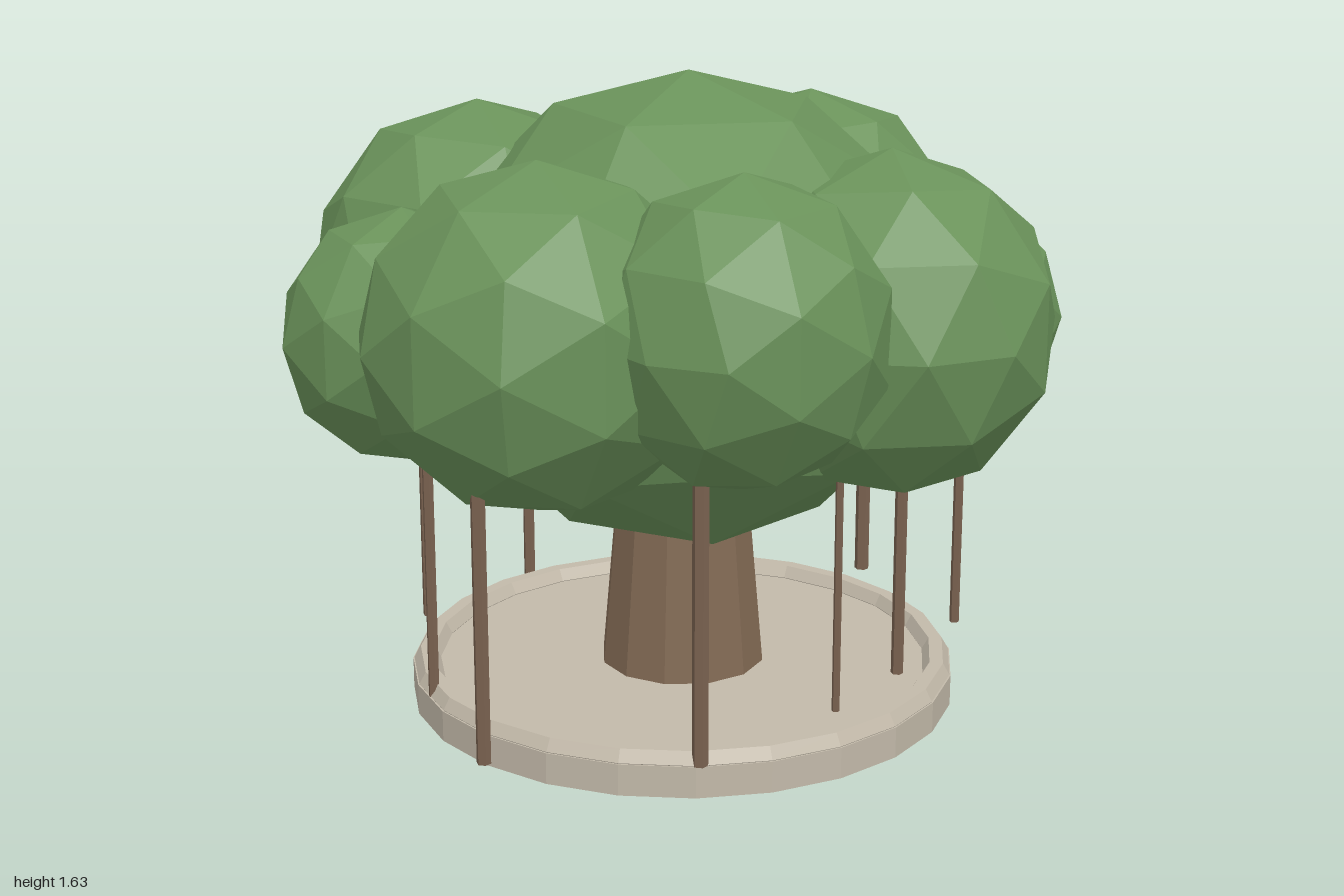
import * as THREE from 'three';

const mat = (color) => new THREE.MeshStandardMaterial({ color, flatShading: true });
const leaf = mat(0x6a925a);
const bark = mat(0x826a54);
const rootBark = mat(0x7a6250);
const stone = mat(0xc2b9a9);

export function createModel() {
  const model = new THREE.Group();
  const add = (name, geometry, material, x, y, z) => {
    const mesh = new THREE.Mesh(geometry, material);
    mesh.name = name;
    mesh.position.set(x, y, z);
    model.add(mesh);
    return mesh;
  };

  // Round plinth with a raised rim
  add('plinth', new THREE.CylinderGeometry(0.71, 0.71, 0.08, 24), stone, 0.005, 0.04, 0);
  const rim = add('plinthRim', new THREE.TorusGeometry(0.672, 0.035, 6, 24), stone, 0.005, 0.082, 0);
  rim.rotation.x = Math.PI / 2;

  // Tapered trunk
  add('trunk', new THREE.CylinderGeometry(0.16, 0.215, 0.62, 12), bark, 0.005, 0.39, 0);

  // Foliage: x, y, z, horizontal radius, vertical radius, turn, tilt of the facets
  const foliage = [
    [0.02, 1.02, 0, 0.65, 0.607, 0.5, -1.017],
    [-0.04, 1.105, 0.6, 0.355, 0.375, 0.6, 0],
    [0.05, 1.14, -0.6, 0.355, 0.36, 0.3, 0],
    [0.41, 1.045, 0.38, 0.42, 0.43, 1.4, 0],
    [0.475, 1.07, -0.345, 0.425, 0.44, 2.1, 0],
    [-0.455, 1.06, 0.335, 0.435, 0.425, 2.7, 0],
    [-0.425, 1.075, -0.41, 0.44, 0.44, 0.6, 0],
    [0.69, 0.97, 0.045, 0.32, 0.325, 1.1, 0],
    [-0.69, 0.98, -0.1, 0.315, 0.325, 1.7, 0],
  ];
  foliage.forEach(([x, y, z, r, h, turn, tilt], i) => {
    const name = i === 0 ? 'crown' : `leafCluster${i}`;
    const ball = new THREE.IcosahedronGeometry(1, 1).rotateX(tilt);
    const clump = add(name, ball, leaf, x, y, z);
    clump.scale.set(r, h, r);
    clump.rotation.y = turn;
  });

  // Hanging roots that reach down from the foliage: x, z, radius
  const roots = [
    [-0.65, 0.51, 0.018], [-0.68, 0.08, 0.014], [-0.165, 0.675, 0.02],
    [0.255, 0.475, 0.01], [0.495, 0.295, 0.016], [0.17, -0.545, 0.021],
    [0.785, 0.005, 0.013], [0.7, -0.465, 0.02], [-0.235, -0.705, 0.016],
    [-0.575, -0.48, 0.019],
  ];
  roots.forEach(([x, z, r], i) => {
    add(`hangingRoot${i + 1}`, new THREE.CylinderGeometry(r, r, 0.87, 6), rootBark, x, 0.515, z);
  });

  return model;
}
